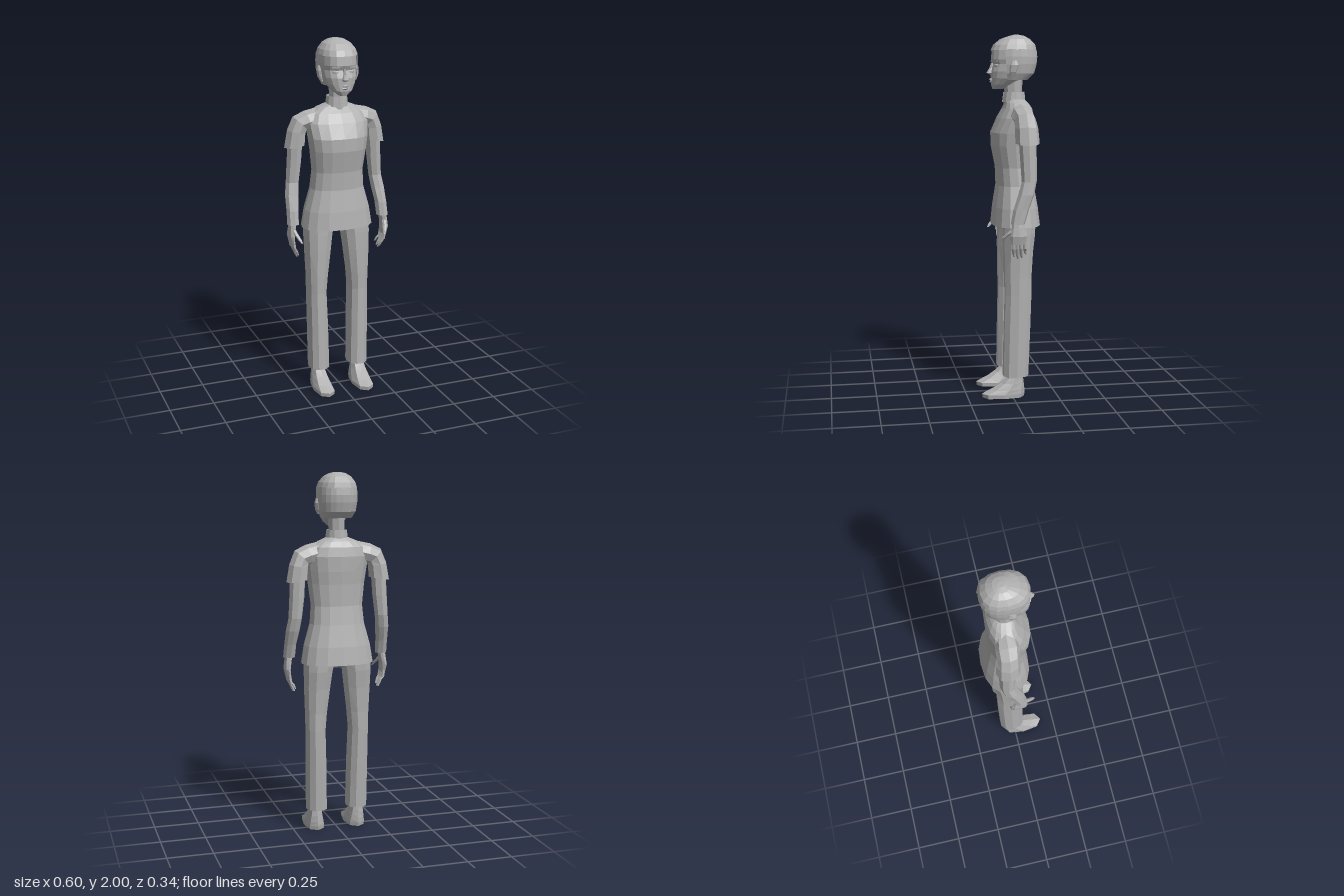
import * as THREE from 'three';

const grey = new THREE.MeshStandardMaterial({ color: 0xb0b0b0, side: THREE.DoubleSide });
grey.name = 'grey';

// Faceted mesh from any geometry
function facet(geometry, name, parent) {
  const g = geometry.index ? geometry.toNonIndexed() : geometry;
  g.computeVertexNormals();
  const mesh = new THREE.Mesh(g, grey);
  mesh.name = name;
  parent.add(mesh);
  return mesh;
}

// Loft through rings listed from the bottom up: [x, y, zFront, zBack, halfWidth, tiltDegrees].
// side -1 mirrors it; from/to limit the sweep (90 degrees is the front).
function loft(name, parent, rings, { n = 8, p = 1, side = 1, from = 0, to = 360, bottom = true, top = true } = {}) {
  const pos = [], idx = [], w = n + 1;
  const bend = v => Math.sign(v) * Math.pow(Math.abs(v), p);
  const tri = (a, b, c) => side > 0 ? idx.push(a, b, c) : idx.push(a, c, b);
  for (const [x, y, zf, zb, r, tilt = 0] of rings) {
    const t = THREE.MathUtils.degToRad(tilt);
    for (let i = 0; i <= n; i++) {
      const a = THREE.MathUtils.degToRad(from + (to - from) * i / n);
      const u = r * bend(Math.cos(a));
      pos.push(side * (x + u * Math.cos(t)), y + u * Math.sin(t), (zf + zb) / 2 + (zf - zb) / 2 * bend(Math.sin(a)));
    }
  }
  for (let k = 0; k < rings.length - 1; k++) {
    for (let i = 0; i < n; i++) {
      const a = k * w + i, b = a + w;
      tri(a, b, a + 1);
      tri(a + 1, b, b + 1);
    }
  }
  const cap = (k, up) => {
    const [x, y, zf, zb] = rings[k], c = pos.length / 3;
    pos.push(side * x, y, (zf + zb) / 2);
    for (let i = 0; i < n; i++) {
      const a = k * w + i;
      if (up) tri(c, a + 1, a); else tri(c, a, a + 1);
    }
  };
  if (bottom) cap(0, false);
  if (top) cap(rings.length - 1, true);
  const g = new THREE.BufferGeometry();
  g.setAttribute('position', new THREE.Float32BufferAttribute(pos, 3));
  g.setIndex(idx);
  return facet(g, name, parent);
}

function addHead(model) {
  const head = new THREE.Group();
  head.name = 'head';
  model.add(head);
  loft('neck', head, [
    [0, 1.62, 0.03, -0.08, 0.052], [0, 1.69, 0.025, -0.072, 0.045], [0, 1.79, 0.03, -0.08, 0.05],
  ], { n: 8 });
  loft('face', head, [
    [0, 1.705, 0.09, 0.035, 0.022], [0, 1.73, 0.1, -0.01, 0.055], [0, 1.765, 0.1, -0.075, 0.08],
    [0, 1.8, 0.101, -0.12, 0.092], [0, 1.84, 0.088, -0.14, 0.096], [0, 1.865, 0.1, -0.145, 0.098],
    [0, 1.92, 0.094, -0.14, 0.095], [0, 1.95, 0.07, -0.12, 0.08],
  ], { n: 16, p: 0.85 });
  // Hair: crown above the forehead, shell round the sides and back
  loft('hairCrown', head, [
    [0, 1.915, 0.101, -0.153, 0.106], [0, 1.945, 0.087, -0.146, 0.096],
    [0, 1.975, 0.05, -0.118, 0.074], [0, 1.993, 0, -0.085, 0.044], [0, 1.999, -0.025, -0.06, 0.015],
  ], { n: 16, p: 0.85, bottom: false });
  loft('hairBack', head, [
    [0, 1.755, 0.06, -0.1, 0.084], [0, 1.79, 0.085, -0.138, 0.1], [0, 1.84, 0.095, -0.152, 0.107],
    [0, 1.88, 0.1, -0.156, 0.108], [0, 1.92, 0.1, -0.152, 0.105],
  ], { n: 14, p: 0.85, from: 155, to: 385, bottom: false, top: false });
  loft('nose', head, [
    [0, 1.783, 0.104, 0.07, 0.014], [0, 1.793, 0.125, 0.07, 0.018],
    [0, 1.82, 0.108, 0.06, 0.009], [0, 1.85, 0.098, 0.06, 0.007],
  ]);
  loft('lips', head, [
    [0, 1.738, 0.1, 0.07, 0.014], [0, 1.746, 0.109, 0.07, 0.022],
    [0, 1.752, 0.102, 0.07, 0.028], [0, 1.758, 0.111, 0.07, 0.02], [0, 1.766, 0.102, 0.07, 0.01],
  ]);
  for (const s of [1, -1]) {
    const eye = facet(new THREE.SphereGeometry(1, 8, 6), 'eye', head);
    eye.scale.set(0.02, 0.009, 0.01);
    eye.position.set(s * 0.044, 1.832, 0.076);
    eye.rotation.y = s * 0.35;
    const brow = facet(new THREE.BoxGeometry(0.042, 0.007, 0.012), 'brow', head);
    brow.position.set(s * 0.045, 1.857, 0.082);
    brow.rotation.y = s * 0.4;
    loft('ear', head, [
      [0.096, 1.775, 0.012, -0.012, 0.007], [0.103, 1.8, 0.014, -0.025, 0.012],
      [0.106, 1.835, 0.012, -0.038, 0.014], [0.104, 1.86, 0, -0.028, 0.009],
    ], { side: s });
  }
}

function addHand(model, s) {
  const hand = new THREE.Group();
  hand.name = s > 0 ? 'leftHand' : 'rightHand';
  model.add(hand);
  loft('palm', hand, [
    [0.273, 0.885, 0.034, -0.05, 0.011], [0.279, 0.93, 0.038, -0.054, 0.016],
    [0.273, 0.975, 0.03, -0.042, 0.018], [0.266, 1.02, 0.024, -0.032, 0.02],
  ], { p: 0.8, side: s });
  // Fingers curl in towards the body
  for (let i = 0; i < 4; i++) {
    const z = 0.023 - i * 0.021, d = [0.012, 0, 0.004, 0.022][i];
    loft('finger', hand, [
      [0.244, 0.803 + d, z - 0.006, z - 0.017, 0.005], [0.253, 0.825 + d, z + 0.003, z - 0.015, 0.008],
      [0.267, 0.86, z + 0.008, z - 0.012, 0.009], [0.274, 0.9, z + 0.01, z - 0.01, 0.01],
    ], { n: 6, side: s });
  }
  loft('thumb', hand, [
    [0.245, 0.906, 0.087, 0.073, 0.006], [0.252, 0.922, 0.081, 0.056, 0.01],
    [0.263, 0.945, 0.058, 0.025, 0.012], [0.27, 0.97, 0.03, 0, 0.012],
  ], { n: 6, side: s });
}

export function createModel() {
  const model = new THREE.Group();
  model.name = 'figure';
  addHead(model);

  // Tunic body, open at the hem
  loft('tunic', model, [
    [0, 0.96, 0.1, -0.168, 0.203], [0, 1.06, 0.09, -0.156, 0.187], [0, 1.18, 0.072, -0.135, 0.153],
    [0, 1.28, 0.076, -0.122, 0.144], [0, 1.4, 0.1, -0.124, 0.158], [0, 1.47, 0.1, -0.13, 0.168],
    [0, 1.55, 0.063, -0.132, 0.178], [0, 1.6, 0.034, -0.123, 0.155], [0, 1.63, 0.022, -0.105, 0.11],
    [0, 1.65, 0.015, -0.085, 0.06],
  ], { n: 16, p: 0.85, bottom: false });
  loft('collar', model, [[0, 1.635, 0.037, -0.092, 0.063], [0, 1.69, 0.03, -0.088, 0.057]],
    { n: 12, from: 100, to: 440, bottom: false, top: false });
  loft('pelvis', model, [
    [0, 0.935, 0, -0.08, 0.05], [0, 0.965, 0.035, -0.12, 0.12], [0, 1.02, 0.05, -0.125, 0.17],
  ], { n: 12 });

  for (const s of [1, -1]) {
    const label = s > 0 ? 'left' : 'right';
    loft(label + 'Sleeve', model, [
      [0.233, 1.422, 0.004, -0.128, 0.06, -8], [0.223, 1.5, 0.004, -0.122, 0.053, 10],
      [0.205, 1.545, 0.004, -0.113, 0.055, 45], [0.165, 1.56, 0.014, -0.113, 0.056, 72],
      [0.1, 1.575, 0.01, -0.1, 0.055, 85],
    ], { n: 8, side: s, bottom: false });
    loft(label + 'Arm', model, [
      [0.266, 0.995, 0.034, -0.042, 0.034], [0.263, 1.07, 0.02, -0.065, 0.034],
      [0.256, 1.15, -0.008, -0.095, 0.039], [0.246, 1.22, -0.028, -0.11, 0.038],
      [0.236, 1.33, -0.022, -0.112, 0.042], [0.23, 1.44, -0.015, -0.11, 0.043], [0.222, 1.52, -0.02, -0.1, 0.035],
    ], { n: 8, side: s });
    addHand(model, s);
    // Trouser leg, open at the ankle
    loft(label + 'TrouserLeg', model, [
      [0.117, 0.12, 0.055, -0.09, 0.06], [0.12, 0.38, 0.05, -0.1, 0.058], [0.124, 0.58, 0.045, -0.106, 0.055],
      [0.121, 0.68, 0.048, -0.106, 0.061], [0.115, 0.82, 0.05, -0.115, 0.074],
      [0.11, 0.92, 0.05, -0.127, 0.082], [0.1, 1.0, 0.048, -0.13, 0.092],
    ], { n: 10, p: 0.9, side: s, bottom: false });
    loft(label + 'Foot', model, [
      [0.119, 0, 0.168, -0.066, 0.053], [0.119, 0.022, 0.172, -0.07, 0.055],
      [0.12, 0.045, 0.12, -0.068, 0.05], [0.121, 0.08, 0.065, -0.064, 0.042],
      [0.121, 0.11, 0.035, -0.06, 0.037], [0.12, 0.2, 0.025, -0.06, 0.036],
    ], { n: 8, p: 0.8, side: s });
  }
  return model;
}
